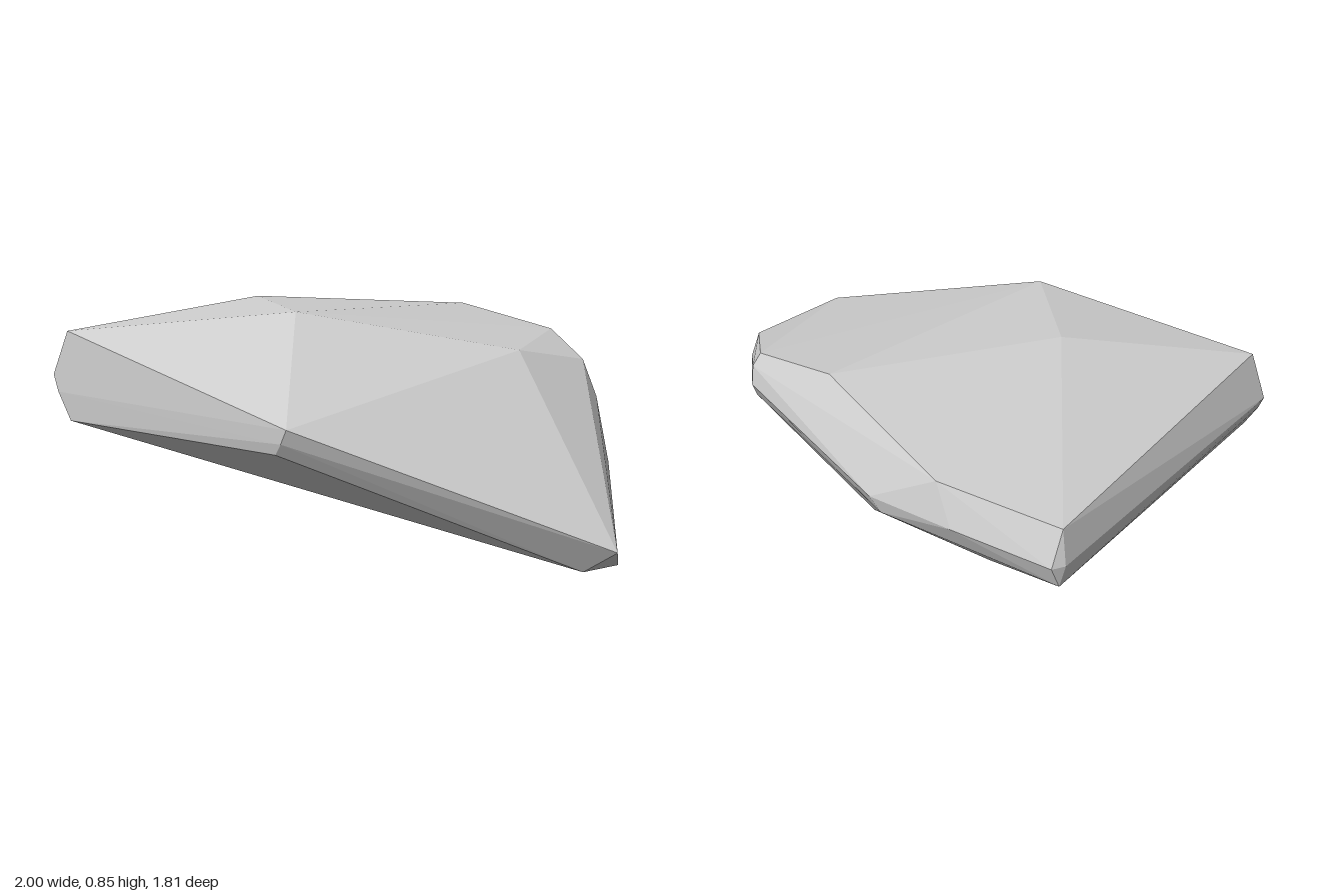
import * as THREE from 'three';
import { ConvexGeometry } from 'three/addons/geometries/ConvexGeometry.js';

// Corners of the boulder as [x, y, z]
const crown = [
  [-0.29, 0.845, 0.05], [-0.11, 0.83, 0.42], [0.45, 0.785, -0.33],
  [0.66, 0.69, 0.30], [0.78, 0.71, -0.17],
  [-0.08, 0.735, -0.75], [-0.54, 0.715, -0.85], [-0.94, 0.74, 0.30],
];
const flanks = [
  [-1.0, 0.58, 0.27], [-0.98, 0.52, 0.29], // right tip
  [-0.09, 0.50, 0.90], [-0.11, 0.45, 0.885], // front tip
  [0.99, 0.08, 0.75], [0.98, 0.29, 0.25], [0.94, 0.50, 0.10], // left side
  [0.89, 0.63, 0.07], [0.80, 0.60, -0.22], [0.82, 0.50, -0.14],
  [0.80, 0.67, -0.20],
  [0.18, 0.57, -0.69], [0.14, 0.51, -0.69], [-0.15, 0.60, -0.82], // back
  [-0.52, 0.59, -0.91], [-0.56, 0.59, -0.88], [-0.54, 0.50, -0.88],
];
const underside = [
  [-0.93, 0.42, 0.32], [-0.13, 0.41, 0.86], [0.88, 0, 0.70],
  [1.0, 0.01, 0.63], [0.40, 0, -0.07], [0.20, 0.17, -0.29], [-0.21, 0.29, -0.57],
];

export function createModel() {
  const group = new THREE.Group();
  group.name = 'rock';

  // One faceted convex stone spanning all the corners
  const corners = [...crown, ...flanks, ...underside].map((p) => new THREE.Vector3(...p));
  const boulder = new THREE.Mesh(
    new ConvexGeometry(corners),
    new THREE.MeshStandardMaterial({ color: 0xcccccc, flatShading: true })
  );
  boulder.name = 'boulder';
  group.add(boulder);
  return group;
}
